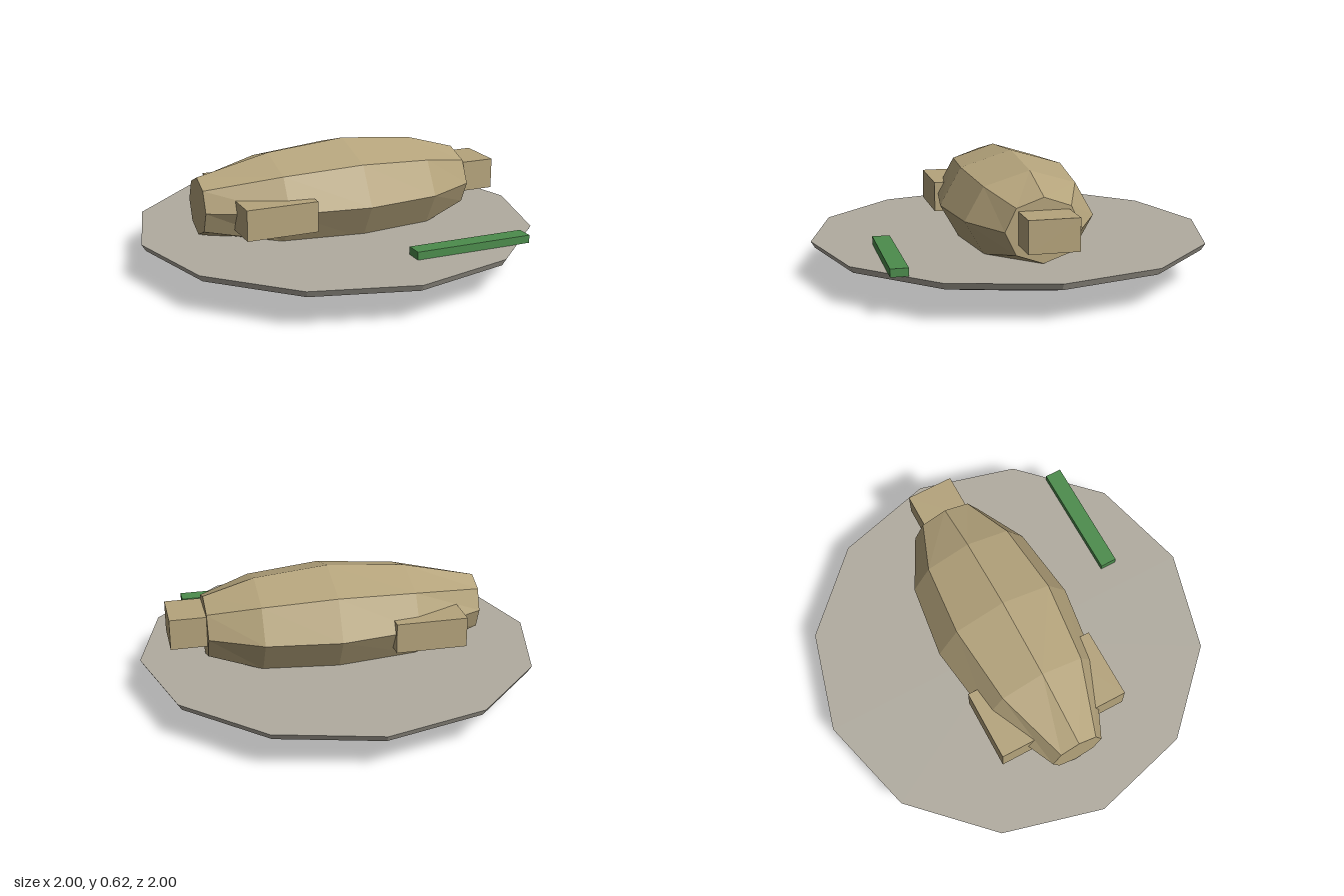
import * as THREE from 'three';

function material(name, color) {
  const m = new THREE.MeshStandardMaterial({ color });
  m.name = name;
  m.flatShading = true;
  return m;
}

export function createModel() {
  const group = new THREE.Group();
  const stone = material('stone grey', 0xb1aca0);
  const roast = material('roast tan', 0xb5a47c);
  const green = material('herb green', 0x4c8c4c);

  const add = (name, geometry, mat) => {
    const mesh = new THREE.Mesh(geometry, mat);
    mesh.name = name;
    group.add(mesh);
    return mesh;
  };

  // Box given by its minimum and maximum corners
  const addBox = (name, mat, [x0, y0, z0], [x1, y1, z1]) => {
    const mesh = add(name, new THREE.BoxGeometry(x1 - x0, y1 - y0, z1 - z0), mat);
    mesh.position.set((x0 + x1) / 2, (y0 + y1) / 2, (z0 + z1) / 2);
  };

  // Twelve-sided dish with a flat top
  const profile = [[0, 0], [0.43, 0], [0.98, 0.163], [1, 0.196], [0, 0.196]];
  add('plate', new THREE.LatheGeometry(profile.map(p => new THREE.Vector2(...p)), 12), stone);

  // Eight-sided body: each station is [x, half height, half depth]
  const stations = [
    [-0.715, 0.145, 0.135],
    [-0.35, 0.23, 0.305],
    [0.05, 0.265, 0.362],
    [0.42, 0.23, 0.315],
    [0.675, 0.155, 0.182],
  ];
  const body = new THREE.CylinderGeometry(1, 1, 1, 8, 4).rotateZ(-Math.PI / 2);
  const pos = body.attributes.position;
  for (let i = 0; i < pos.count; i++) {
    const [x, ry, rz] = stations[Math.round((pos.getX(i) + 0.5) * 4)];
    pos.setXYZ(i, x, 0.355 + pos.getY(i) * ry, pos.getZ(i) * rz);
  }
  body.computeVertexNormals();
  add('body', body, roast);

  // Neck stub and a leg on each side
  addBox('neck', roast, [0.6, 0.295, -0.12], [0.855, 0.45, 0.12]);
  addBox('frontLeg', roast, [-0.58, 0.263, 0.14], [-0.222, 0.415, 0.34]);
  addBox('backLeg', roast, [-0.58, 0.263, -0.34], [-0.222, 0.415, -0.14]);

  // Garnish strip lying across the rim
  addBox('garnish', green, [0.12, 0.196, 0.627], [0.722, 0.235, 0.712]);

  return group;
}
